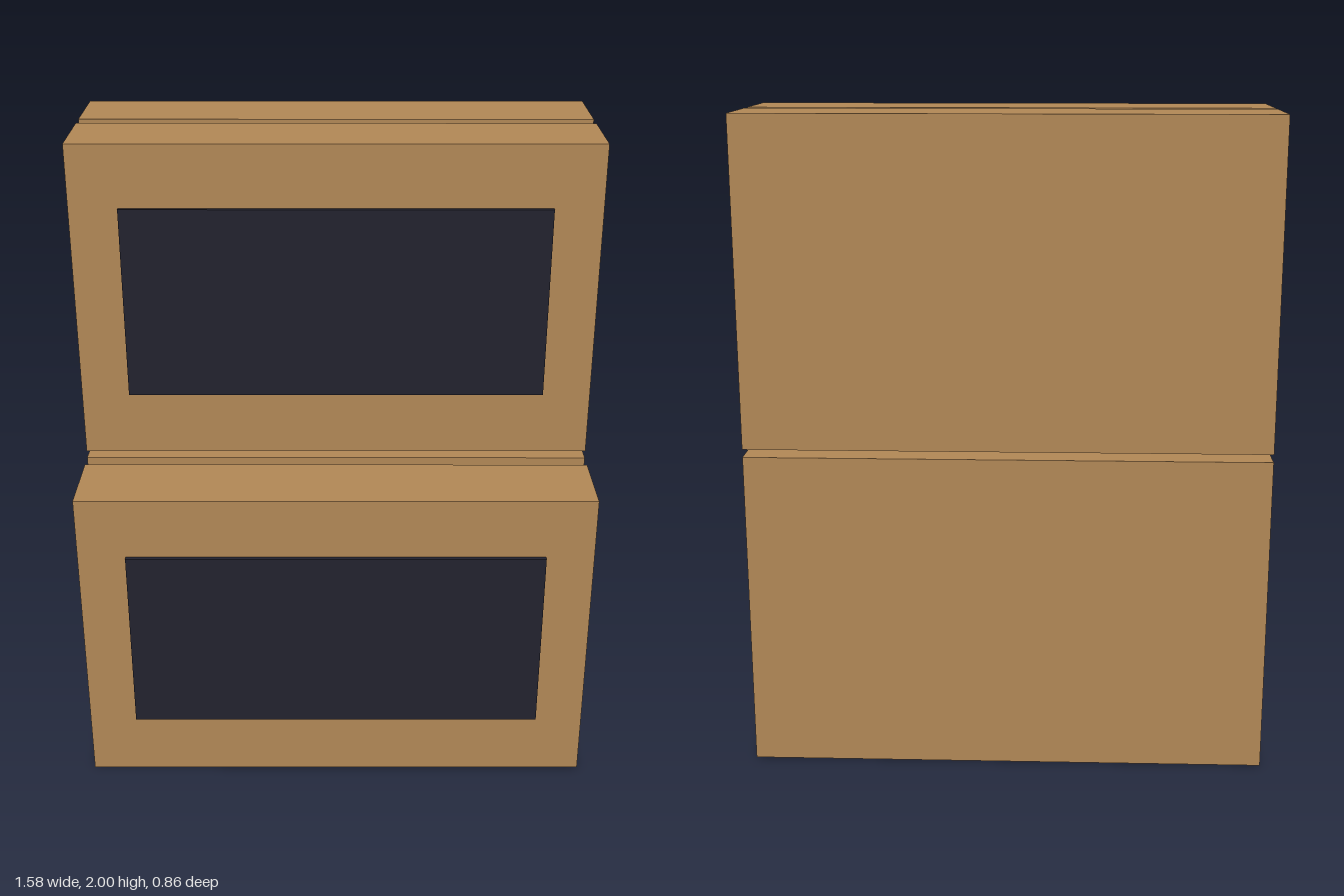
import * as THREE from 'three';

export function createModel() {
  const model = new THREE.Group();
  const cardboard = new THREE.MeshStandardMaterial({ color: 0xb08655 });
  cardboard.name = 'cardboard brown';
  const dark = new THREE.MeshStandardMaterial({ color: 0x22222e });
  dark.name = 'dark panel';

  const W = 1.583, H = 0.988, D = 0.247, PANEL = 0.014;
  const boxGeometry = new THREE.BoxGeometry(W, H, D);
  const panelGeometry = new THREE.BoxGeometry(1.287, 0.595, PANEL);

  // One slab-shaped box with a dark panel on its front
  function addBox(row, layer) {
    const unit = new THREE.Group();
    unit.name = `box row ${row + 1} layer ${layer + 1}`;
    const body = new THREE.Mesh(boxGeometry, cardboard);
    body.name = 'boxBody';
    const panel = new THREE.Mesh(panelGeometry, dark);
    panel.name = 'frontPanel';
    panel.position.set(0, 0.004, D / 2 + PANEL / 2);
    unit.add(body, panel);
    unit.position.set(0, H / 2 + layer * 1.012, 0.29 - row * 0.297);
    model.add(unit);
  }

  // Three boxes on the floor, two stacked on the rear ones
  for (let row = 0; row < 3; row++) {
    addBox(row, 0);
    if (row > 0) addBox(row, 1);
  }
  return model;
}
